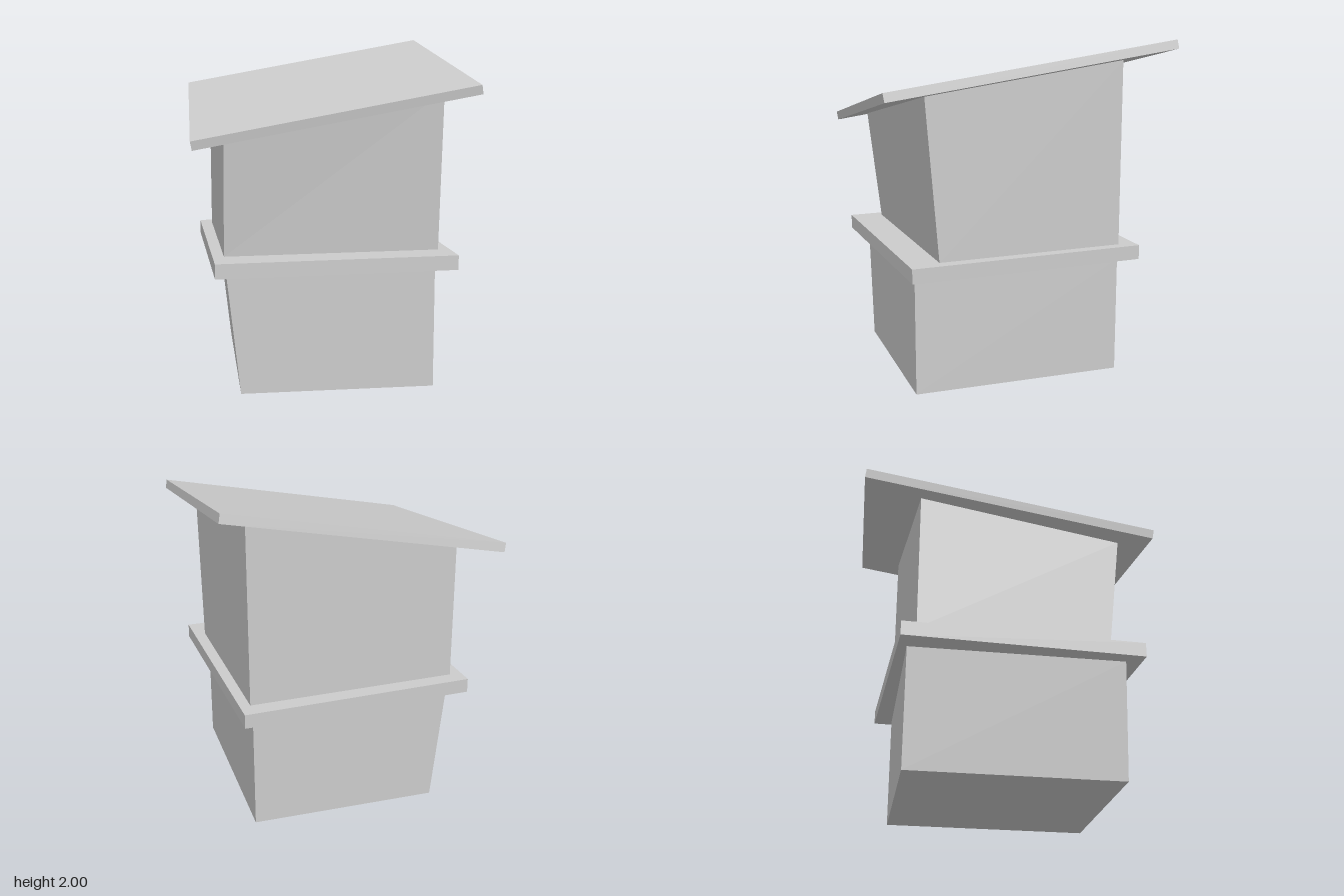
import * as THREE from 'three';

// Box whose eight corners are moved to given places.
// Each ring lists [x, y, z] as front-left (-x), front-right (+x), back-right, back-left.
function skewedBox(name, bottom, top, material) {
  const geometry = new THREE.BoxGeometry(1, 1, 1).toNonIndexed();
  const pos = geometry.attributes.position;
  for (let i = 0; i < pos.count; i++) {
    const ring = pos.getY(i) > 0 ? top : bottom;
    const right = pos.getX(i) > 0;
    const corner = pos.getZ(i) > 0 ? (right ? 1 : 0) : (right ? 2 : 3);
    pos.setXYZ(i, ...ring[corner]);
  }
  geometry.computeVertexNormals();
  const mesh = new THREE.Mesh(geometry, material);
  mesh.name = name;
  return mesh;
}

export function createModel() {
  const group = new THREE.Group();
  group.name = 'hut';
  const material = new THREE.MeshStandardMaterial({ color: 0xcccccc, flatShading: true });

  // Lower storey: slightly turned, its -x wall leaning out
  group.add(skewedBox('lowerStorey',
    [[-0.56, 0, 0.64], [0.56, 0, 0.69], [0.61, 0, -0.56], [-0.51, 0, -0.61]],
    [[-0.635, 0.69, 0.64], [0.56, 0.69, 0.69], [0.61, 0.69, -0.56], [-0.585, 0.69, -0.615]],
    material));

  // Ledge slab between the storeys, with a hairline gap below
  const ledge = new THREE.Mesh(new THREE.BoxGeometry(1.39, 0.085, 1.405), material);
  ledge.name = 'ledge';
  ledge.position.set(-0.01, 0.743, 0.0375);
  group.add(ledge);

  // Upper storey: front wall leaning out, top cut to the roof slope
  group.add(skewedBox('upperStorey',
    [[-0.64, 0.785, 0.55], [0.615, 0.785, 0.56], [0.623, 0.785, -0.56], [-0.632, 0.785, -0.57]],
    [[-0.64, 1.476, 0.63], [0.615, 1.716, 0.635], [0.623, 1.879, -0.56], [-0.632, 1.637, -0.57]],
    material));

  // Sloping roof slab, thickened along its own normal
  const roofTop = [[-0.83, 1.468, 0.79], [0.745, 1.76, 0.9], [0.815, 2, -0.795], [-0.757, 1.71, -0.905]];
  const drop = [0.01, -0.051, -0.007];
  const roofBottom = roofTop.map((p) => p.map((v, k) => v + drop[k]));
  group.add(skewedBox('roof', roofBottom, roofTop, material));

  return group;
}
